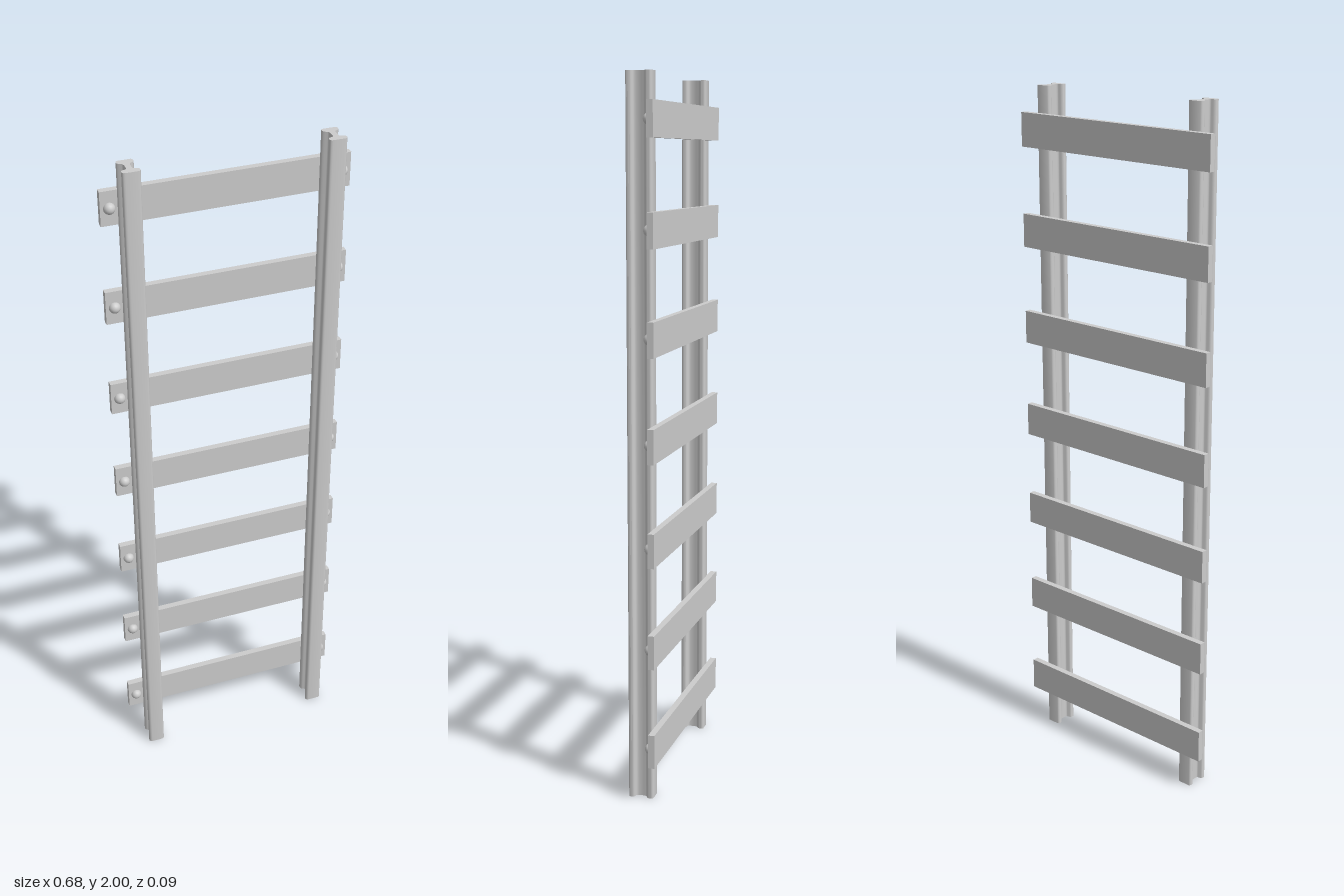
import * as THREE from 'three';
import { toCreasedNormals } from 'three/addons/utils/BufferGeometryUtils.js';

const material = new THREE.MeshStandardMaterial({ color: 0xcccccc });

const LENGTH = 2, RAIL_X = 0.271, BOLT_X = 0.314;
const SLEEPERS = 7, FIRST_Y = 0.158, SPACING = 0.2863;

function addMesh(parent, name, geometry, x, y, z) {
  const mesh = new THREE.Mesh(geometry, material);
  mesh.name = name;
  mesh.position.set(x, y, z);
  parent.add(mesh);
}

// Rounded I-section; half outline as [x, z], mirrored, then extruded along y
function railGeometry() {
  const half = [
    [0.018, -0.027], [0.0212, -0.0245], [0.0225, -0.02], [0.0222, -0.015], [0.020, -0.011],
    [0.016, -0.008], [0.011, -0.0055], [0.0085, -0.002], [0.0075, 0.004],
    [0.0075, 0.018], [0.0085, 0.023], [0.011, 0.0255], [0.016, 0.0265],
    [0.0205, 0.0275], [0.0235, 0.031], [0.0245, 0.0355], [0.0235, 0.04], [0.0205, 0.0435], [0.016, 0.0445],
  ];
  const outline = [...half, ...half.map(([x, z]) => [-x, z]).reverse()];
  const shape = new THREE.Shape(outline.map(([x, z]) => new THREE.Vector2(x, -z)));
  const geometry = new THREE.ExtrudeGeometry(shape, { depth: LENGTH, bevelEnabled: false });
  geometry.rotateX(-Math.PI / 2);
  return toCreasedNormals(geometry, Math.PI / 4);
}

export function createModel() {
  const group = new THREE.Group();
  group.name = 'railTrack';

  const rail = railGeometry();
  const sleeper = new THREE.BoxGeometry(0.676, 0.096, 0.018);
  // Domed bolt head facing +z
  const bolt = new THREE.SphereGeometry(0.0158, 16, 6, 0, Math.PI * 2, 0, Math.PI / 2);
  bolt.rotateX(Math.PI / 2);

  // Pair of rails
  for (const side of [-1, 1]) {
    addMesh(group, side > 0 ? 'leftRail' : 'rightRail', rail, side * RAIL_X, 0, 0);
  }

  // Sleepers, each with a bolt outside either rail
  for (let i = 0; i < SLEEPERS; i++) {
    const y = FIRST_Y + i * SPACING;
    addMesh(group, 'sleeper', sleeper, 0, y, -0.036);
    for (const side of [-1, 1]) addMesh(group, 'bolt', bolt, side * BOLT_X, y, -0.027);
  }
  return group;
}
